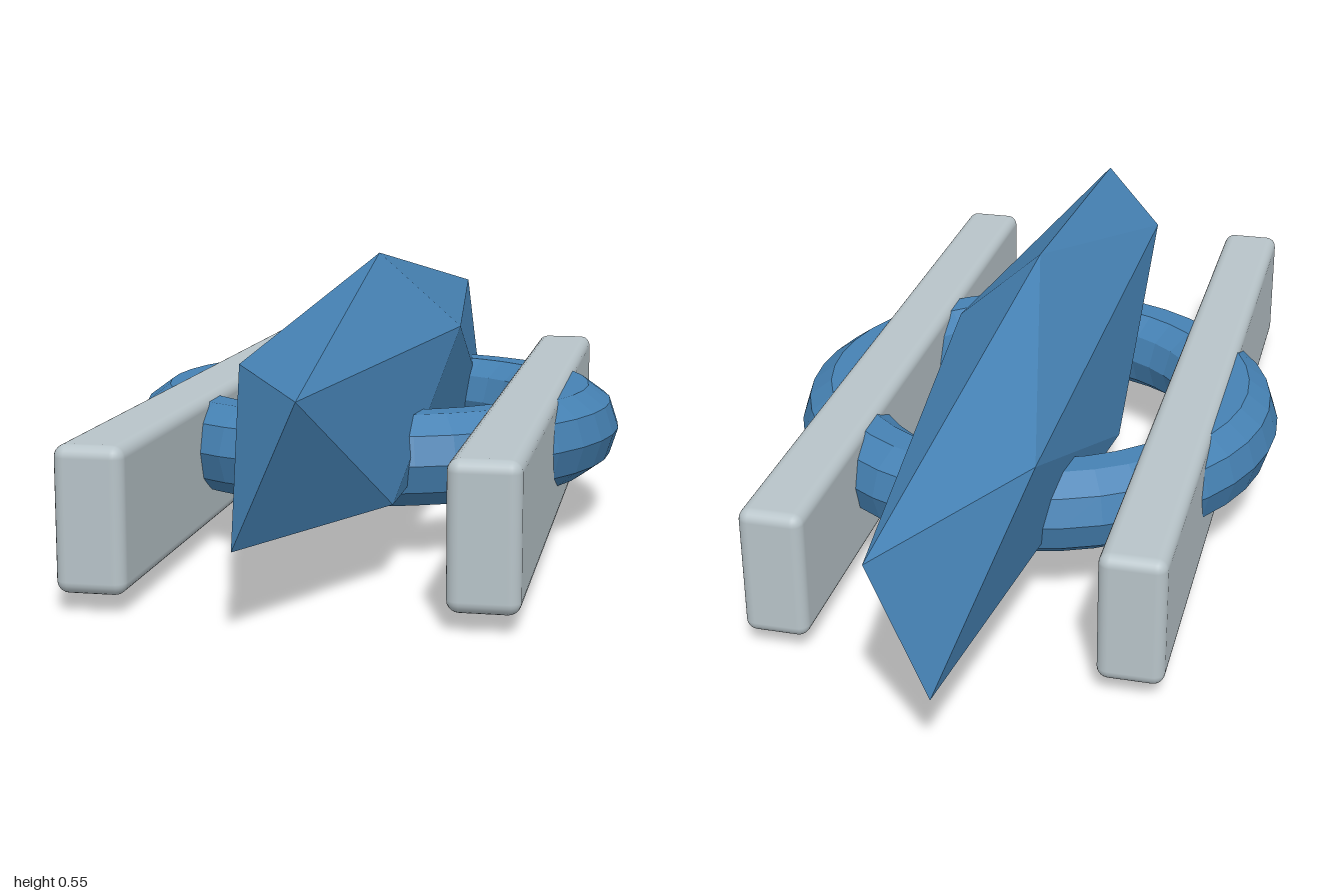
import * as THREE from 'three';
import { ConvexGeometry } from 'three/addons/geometries/ConvexGeometry.js';
import { RoundedBoxGeometry } from 'three/addons/geometries/RoundedBoxGeometry.js';

export function createModel() {
  const model = new THREE.Group();
  model.name = 'craft';

  const blue = new THREE.MeshStandardMaterial({ color: 0x4682b4, flatShading: true });
  blue.name = 'hull blue';
  const grey = new THREE.MeshStandardMaterial({ color: 0xb8c4c9 });
  grey.name = 'pale grey';

  const add = (name, geometry, material, x, y, z) => {
    const mesh = new THREE.Mesh(geometry, material);
    mesh.name = name;
    mesh.position.set(x, y, z);
    model.add(mesh);
    return mesh;
  };

  // Hull: stretched icosahedron, two poles and two staggered rings of five
  const halfHeight = 0.273, ringX = 0.172, ringZ = 1 / Math.sin(Math.PI * 0.4);
  const points = [new THREE.Vector3(0, halfHeight, 0), new THREE.Vector3(0, -halfHeight, 0)];
  for (let i = 0; i < 5; i++) {
    const a = (i * Math.PI * 2) / 5;
    const p = new THREE.Vector3(ringX * Math.cos(a), halfHeight / Math.sqrt(5), ringZ * Math.sin(a));
    points.push(p, p.clone().negate());
  }
  add('hull', new ConvexGeometry(points), blue, 0, halfHeight, 0);

  // Horizontal ring with a ten-sided section
  const ring = new THREE.TorusGeometry(0.411, 0.0915, 10, 40);
  ring.rotateX(Math.PI / 2);
  add('ring', ring, blue, 0, 0.191, 0);

  // Side rails, set slightly forward
  for (const [name, side] of [['leftRail', 1], ['rightRail', -1]]) {
    add(name, new RoundedBoxGeometry(0.124, 0.257, 1.605, 3, 0.022), grey, side * 0.333, 0.161, 0.083);
  }

  return model;
}
